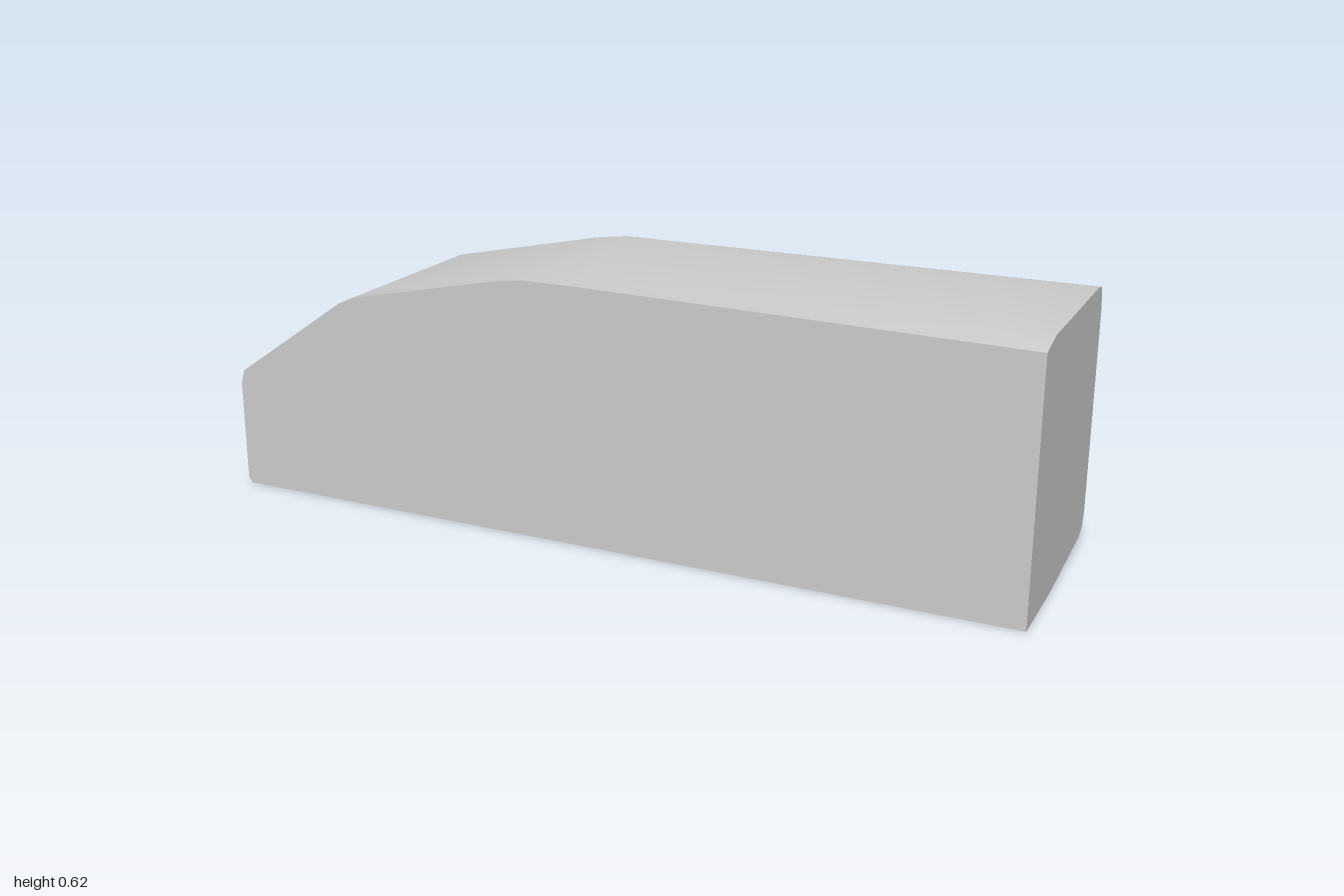
import * as THREE from 'three';
import { toCreasedNormals } from 'three/addons/utils/BufferGeometryUtils.js';

// One body cross-section at x, anticlockwise as seen from +x.
// top, floor: heights; back: z of the rear wall; cut: lower rear corner cut; round: height of the upper rear rounding
function section({ x, top, floor = 0, back = -0.272, cut = 0, round = 0.07 }) {
  const drop = 0.017 * Math.max(0, (x + 0.05) / 1.05); // front upper edge sinks towards the tall end
  return [
    [0.272, floor],
    [0.045, floor],
    [back + 0.042, floor + 0.022 * cut],
    [back + 0.012, floor + 0.036 * cut],
    [back, floor + 0.07 * cut],
    [back, top - round],
    [back + 0.006, top - round * 0.42],
    [back + 0.016, top - round * 0.08],
    [back + 0.05, top],
    [0.272 - 0.075, top],
    [0.272, top - drop],
  ].map(([z, y]) => [x, y, z]);
}

// Joins the sections into a closed skin with a cap at each end
function loft(sections) {
  const n = sections[0].length;
  const index = [];
  for (let i = 0; i < sections.length - 1; i++) {
    for (let j = 0; j < n; j++) {
      const k = (j + 1) % n;
      const a = i * n + j, b = i * n + k, c = b + n, d = a + n;
      index.push(a, b, c, a, c, d);
    }
  }
  const last = (sections.length - 1) * n;
  for (let j = 1; j < n - 1; j++) {
    index.push(0, j + 1, j);
    index.push(last, last + j, last + j + 1);
  }
  const geometry = new THREE.BufferGeometry();
  geometry.setAttribute('position', new THREE.Float32BufferAttribute(sections.flat(2), 3));
  geometry.setIndex(index);
  return toCreasedNormals(geometry, 0.45);
}

export function createModel() {
  const group = new THREE.Group();
  group.name = 'slopedBlock';

  // Low nose, two sloping facets, flat roof, tall end
  const stations = [
    { x: -1, top: 0.265, floor: 0.015, back: -0.25, round: 0.03 },
    { x: -0.99, top: 0.3, back: -0.262, round: 0.05 },
    { x: -0.93, top: 0.341 },
    { x: -0.69, top: 0.507 },
    { x: -0.65, top: 0.526 },
    { x: -0.25, top: 0.611 },
    { x: -0.18, top: 0.62 },
    { x: -0.05, top: 0.62 },
    { x: 0.85, top: 0.62 },
    { x: 1, top: 0.62, cut: 1 },
  ];
  const body = new THREE.Mesh(
    loft(stations.map(section)),
    new THREE.MeshStandardMaterial({ color: 0xcccccc })
  );
  body.name = 'body';
  group.add(body);
  return group;
}
